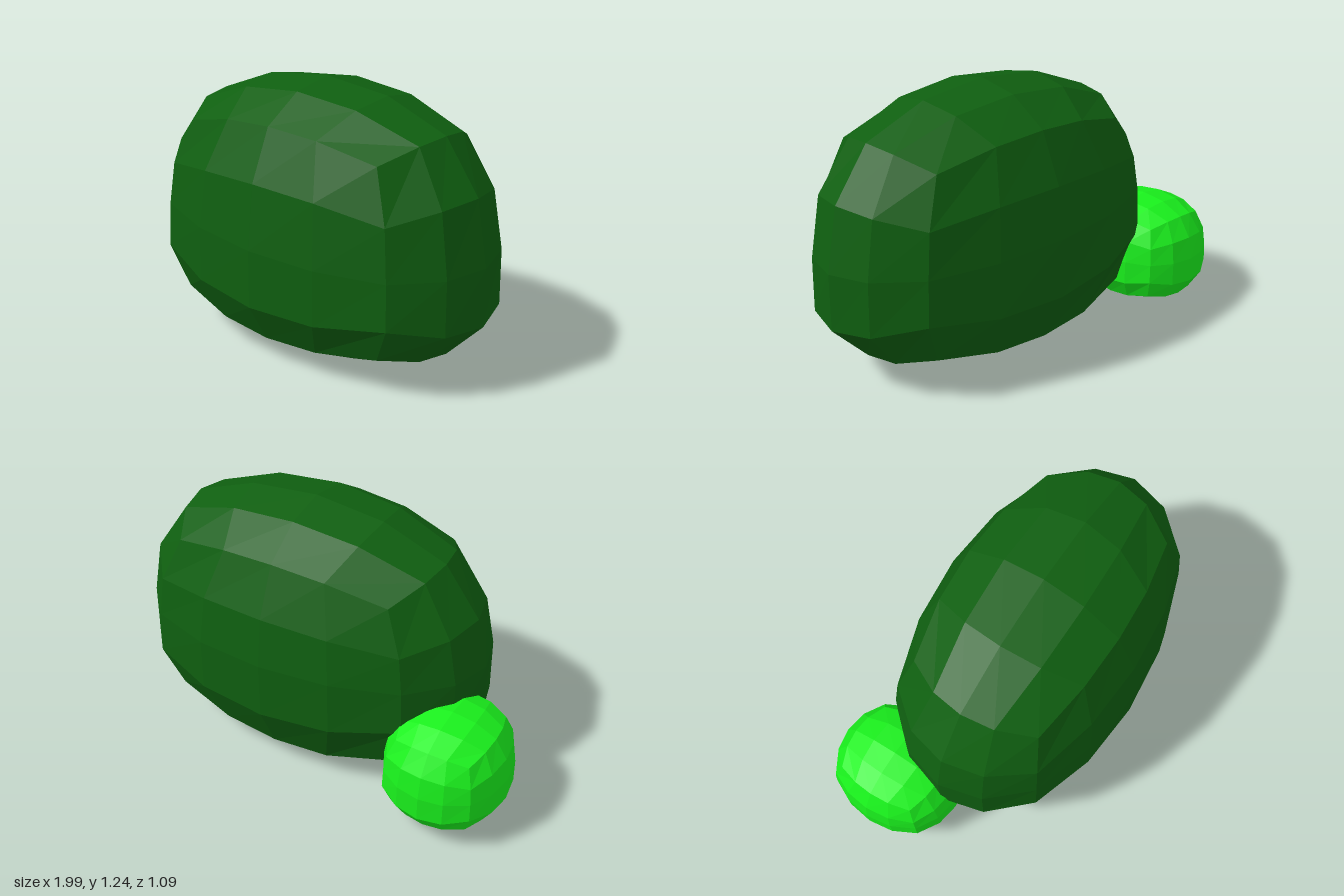
import * as THREE from 'three';

// Faceted bush: a box grid inflated to a rounded ball, with a flatter, wider underside
function bush({ name, color, center, radius, down, tilt }) {
  const geometry = new THREE.BoxGeometry(1, 1, 1, 4, 4, 4);
  const pos = geometry.attributes.position;
  const p = new THREE.Vector3();
  for (let i = 0; i < pos.count; i++) {
    p.fromBufferAttribute(pos, i);
    // Even angular spacing on each side, then slightly boxier than a ball
    p.set(...p.toArray().map((c) => Math.tan(c * Math.PI / 2))).normalize();
    const m = Math.max(Math.abs(p.x), Math.abs(p.y), Math.abs(p.z));
    p.multiplyScalar(1 + 0.1 * (1 - m * m));

    const h = p.y;
    const below = h < -0.001;
    const spread = below ? 1 + 0.07 * Math.min(1, -h / 0.4) : 1;
    const lift = 1 + (below ? 0.22 : 0.06) * (1 - h * h);
    // The widest rings lean down slightly towards one corner
    const lean = tilt * Math.max(0, 1 - ((h + 0.15) / 0.55) ** 2);
    pos.setXYZ(
      i,
      center[0] + radius[0] * p.x * spread,
      center[1] + h * lift * (below ? down : radius[1]) - lean * (p.x + p.z),
      center[2] + radius[2] * p.z * spread
    );
  }
  geometry.computeVertexNormals();
  const material = new THREE.MeshStandardMaterial({ color, flatShading: true });
  const mesh = new THREE.Mesh(geometry, material);
  mesh.name = name;
  return mesh;
}

export function createModel() {
  const group = new THREE.Group();
  group.name = 'bushes';
  group.add(
    bush({
      name: 'largeBush', color: 0x0f5f10,
      center: [0.123, 0.6, 0.027], radius: [0.87, 0.65, 0.516], down: 0.59, tilt: 0.032,
    }),
    bush({
      name: 'smallBush', color: 0x19f01c,
      center: [-0.717, 0.29, -0.238], radius: [0.283, 0.26, 0.311], down: 0.255, tilt: 0,
    })
  );
  return group;
}
